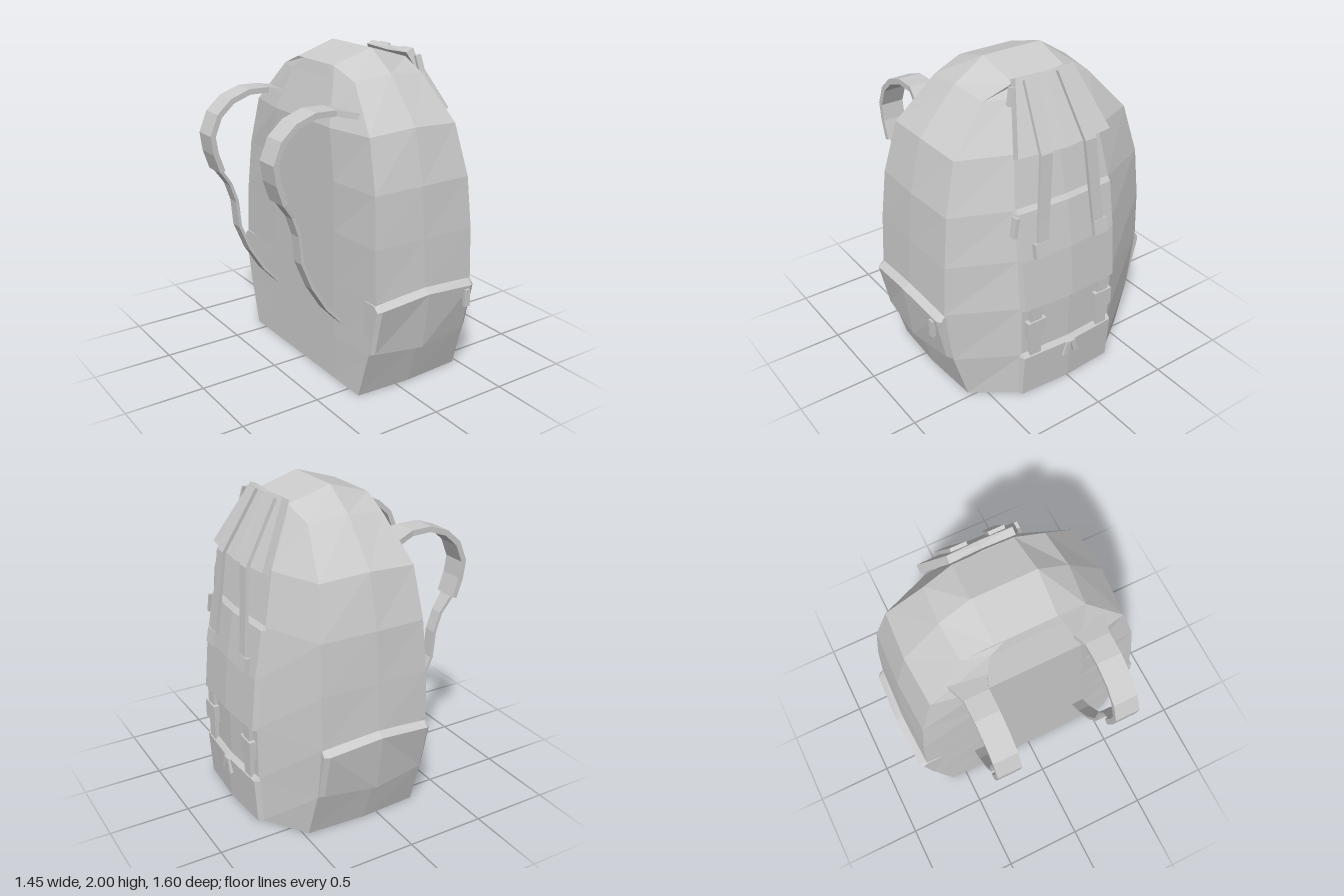
import * as THREE from 'three';

const material = new THREE.MeshStandardMaterial({ color: 0xcccccc, flatShading: true });

// Closed solid through equal-length rings of [x, y, z], capped at both ends
function loft(name, rings) {
  const n = rings[0].length;
  const tris = [];
  for (let r = 0; r < rings.length - 1; r++) {
    for (let i = 0; i < n; i++) {
      const j = (i + 1) % n;
      const a = rings[r][i], b = rings[r][j], c = rings[r + 1][j], d = rings[r + 1][i];
      tris.push([a, b, c], [a, c, d]);
    }
  }
  const cap = (ring, flip) => {
    const m = [0, 1, 2].map((k) => ring.reduce((s, p) => s + p[k], 0) / n);
    ring.forEach((p, i) => {
      const q = ring[(i + 1) % n];
      tris.push(flip ? [m, q, p] : [m, p, q]);
    });
  };
  cap(rings[0], true);
  cap(rings[rings.length - 1], false);
  // Turn the faces outwards if the enclosed volume is negative
  let volume = 0;
  const v = tris.map((t) => t.map((p) => new THREE.Vector3(...p)));
  const o = v[0][0].clone();
  v.forEach(([a, b, c]) => {
    volume += a.clone().sub(o).dot(b.clone().sub(o).cross(c.clone().sub(o)));
  });
  if (volume < 0) tris.forEach((t) => t.reverse());
  const geometry = new THREE.BufferGeometry();
  geometry.setAttribute('position', new THREE.Float32BufferAttribute(tris.flat(2), 3));
  geometry.computeVertexNormals();
  const mesh = new THREE.Mesh(geometry, material);
  mesh.name = name;
  return mesh;
}

// Flat band along points [x, y, z, halfWidth], its width running along z
function ribbon(name, points, thickness) {
  const rings = points.map(([x, y, z, w], i) => {
    const p = points[Math.max(i - 1, 0)], q = points[Math.min(i + 1, points.length - 1)];
    const dx = q[0] - p[0], dy = q[1] - p[1], len = Math.hypot(dx, dy);
    const nx = (-dy / len) * thickness / 2, ny = (dx / len) * thickness / 2;
    return [[x + nx, y + ny, z - w], [x + nx, y + ny, z + w],
      [x - nx, y - ny, z + w], [x - nx, y - ny, z - w]];
  });
  return loft(name, rings);
}

function createBody() {
  // side y, side z, corner y, corner z, back corner x, front corner x, panel z, front x, back x
  const rows = [
    [0, 0.62, 0, 0.60, -0.27, 0.47, 0.34, 0.67, -0.27],
    [0.3, 0.705, 0.3, 0.69, -0.265, 0.46, 0.34, 0.685, -0.27],
    [0.65, 0.755, 0.65, 0.74, -0.255, 0.455, 0.34, 0.685, -0.27],
    [0.97, 0.735, 0.97, 0.725, -0.25, 0.455, 0.34, 0.655, -0.27],
    [1.285, 0.71, 1.28, 0.695, -0.235, 0.44, 0.34, 0.61, -0.27],
    [1.61, 0.63, 1.59, 0.61, -0.215, 0.40, 0.30, 0.54, -0.27],
    [1.875, 0.395, 1.85, 0.375, -0.15, 0.335, 0.22, 0.40, -0.19],
    [2, 0.2, 1.92, 0.19, -0.17, 0.355, 0.12, 0.36, -0.172],
    [2, 0, 1.92, 0, -0.17, 0.355, 0, 0.36, -0.172],
  ];
  return loft('body', rows.map(([ys, zs, yc, zc, xb, xc, zp, xf, xk]) => {
    const half = [[xk, yc, zp], [xb, yc, zc], [0.09, ys, zs], [xc, yc, zc],
      [xf - 0.02 * (zp / 0.34), yc, zp]];
    const other = half.map(([x, y, z]) => [x, y, -z]).reverse();
    return [...half, [xf, yc, 0], ...other, [xk, yc, 0]];
  }));
}

// Front pocket from heights [y, outer x]
function frontPocket(name, rows) {
  return loft(name, rows.map(([y, x]) => [
    [0.5, y, -0.35], [x - 0.055, y, -0.35], [x - 0.02, y, -0.335], [x, y, 0],
    [x - 0.02, y, 0.335], [x - 0.055, y, 0.35], [0.5, y, 0.35]]));
}

// Flared pocket wrapped around one side, with a sloping lip
function sidePocket(s) {
  const columns = [
    [-0.262, 0.32, 0.61, 0.64, 0.70, 0.765, 0.735],
    [-0.24, 0.318, 0.615, 0.645, 0.72, 0.785, 0.745],
    [0.09, 0.285, 0.648, 0.677, 0.75, 0.80, 0.75],
    [0.43, 0.318, 0.615, 0.648, 0.72, 0.785, 0.745],
    [0.458, 0.32, 0.61, 0.645, 0.70, 0.765, 0.735],
  ];
  return loft('sidePocket', columns.map(([x, y0, y1, y2, z0, z1, z2]) => [
    [x, y0, s * 0.64], [x, y0, s * z0], [x, y1, s * z1], [x, y2, s * z2], [x, y2, s * 0.64]]));
}

function shoulderStrap(s) {
  const group = new THREE.Group();
  group.name = 'shoulderStrap';
  const z = s * 0.37;
  const pad = [[-0.19, 1.68, 0.12], [-0.32, 1.71, 0.077], [-0.45, 1.713, 0.075],
    [-0.57, 1.67, 0.075], [-0.66, 1.59, 0.075], [-0.71, 1.47, 0.075],
    [-0.695, 1.36, 0.075], [-0.655, 1.24, 0.075]];
  const webbing = [[-0.66, 1.25, 0.05], [-0.585, 1.14, 0.04], [-0.545, 1.02, 0.04],
    [-0.53, 0.85, 0.04], [-0.46, 0.68, 0.04], [-0.36, 0.52, 0.04], [-0.25, 0.40, 0.04]];
  const place = (list) => list.map(([x, y, w]) => [x, y, z, w]);
  group.add(ribbon('strapPad', place(pad), 0.035), ribbon('strapWebbing', place(webbing), 0.02));
  return group;
}

export function createModel() {
  const model = new THREE.Group();
  model.name = 'backpack';
  model.add(createBody());
  model.add(frontPocket('lowerFrontPocket', [[0, 0.695], [0.29, 0.715], [0.315, 0.695]]));
  model.add(frontPocket('upperFrontPocket', [[0.64, 0.715], [0.97, 0.685], [1.26, 0.635], [1.285, 0.615]]));

  // Top flap, slightly bowed, widening downwards
  const flapRing = (xi, yi, xo, yo, w, bow) => [
    [xi, yi, -w], [xo, yo, -w], [xo + bow, yo - bow, 0],
    [xo, yo, w], [xi, yi, w], [xi + bow, yi - bow, 0]];
  model.add(loft('topFlap', [
    flapRing(0.352, 1.945, 0.395, 1.965, 0.2, 0.012),
    flapRing(0.55, 1.575, 0.595, 1.6, 0.325, 0.018)]));

  for (const s of [1, -1]) {
    model.add(sidePocket(s), shoulderStrap(s));
    // Long compression strap over the flap and its end piece
    model.add(ribbon('compressionStrap', [
      [0.42, 1.955, s * 0.115, 0.05], [0.62, 1.59, s * 0.155, 0.04],
      [0.655, 1.2, s * 0.19, 0.037], [0.672, 1.03, s * 0.205, 0.037]], 0.022));
    model.add(ribbon('strapEnd', [[0.668, 1.07, s * 0.215, 0.05], [0.685, 0.98, s * 0.215, 0.05]], 0.035));
    // Short buckled strap between the two pockets
    model.add(ribbon('buckleStrap', [[0.685, 0.3, s * 0.255, 0.04], [0.685, 0.65, s * 0.255, 0.04]], 0.025));
    model.add(ribbon('buckle', [[0.685, 0.43, s * 0.255, 0.065], [0.685, 0.55, s * 0.255, 0.065]], 0.045));
    model.add(ribbon('zipPull', [[0.715, 0.29, s * 0.015, 0.017], [0.715, 0.2, s * 0.04, 0.017]], 0.02));
  }

  // Zip pulls on the left side
  model.add(ribbon('pocketZipPull', [[0.61, 1.25, 0.348, 0.012], [0.615, 1.13, 0.368, 0.012]], 0.045));
  model.add(ribbon('flapZipPull', [[0.41, 1.93, 0.235, 0.01], [0.425, 1.83, 0.26, 0.01]], 0.04));
  model.add(ribbon('sidePocketZipPull', [[0.392, 0.6, 0.787, 0.012], [0.392, 0.49, 0.787, 0.012]], 0.036));
  return model;
}
